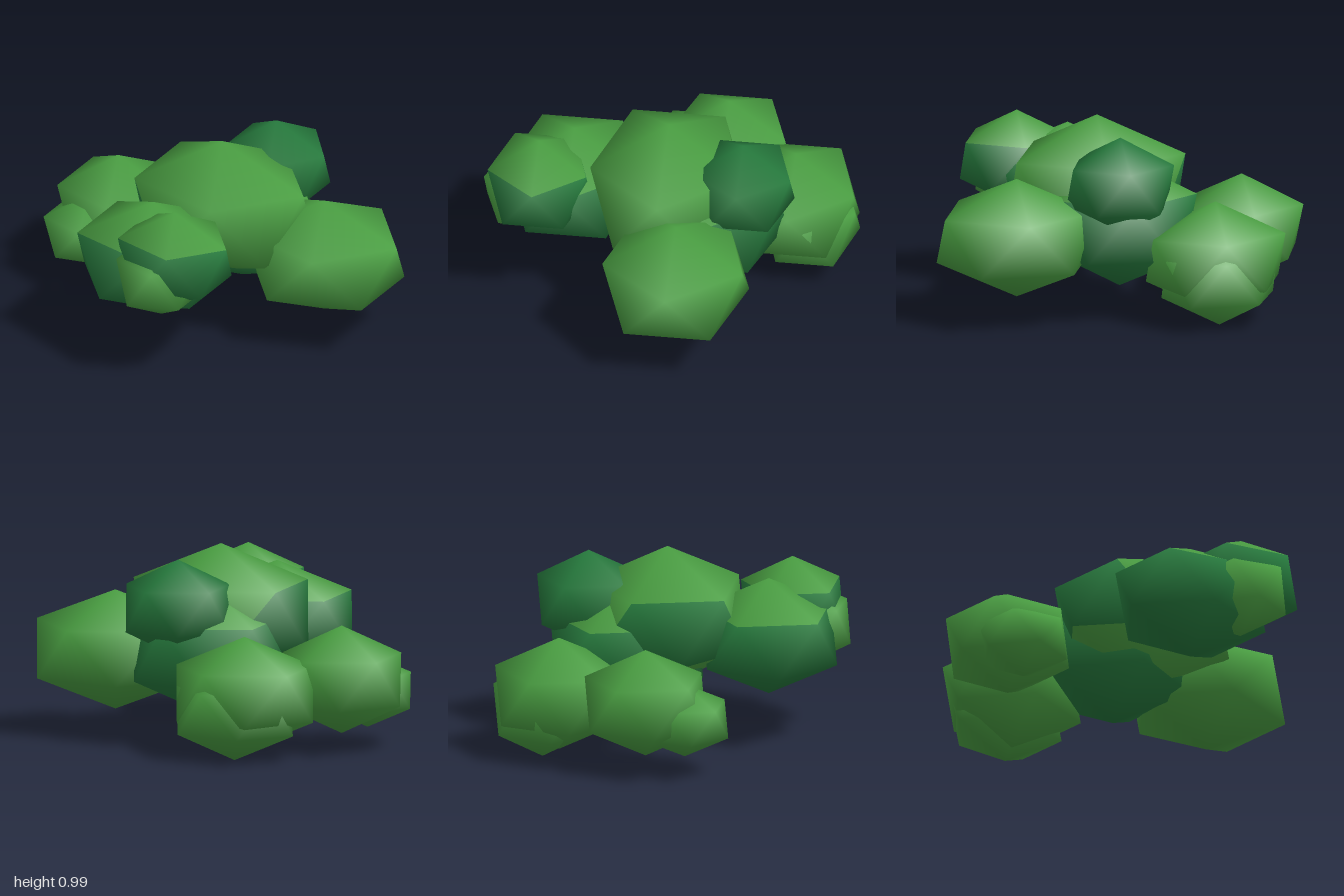
import * as THREE from 'three';

const leafGreen = new THREE.MeshStandardMaterial({ color: 0x4a9f42 });
leafGreen.name = 'leaf green';
const shadeGreen = new THREE.MeshStandardMaterial({ color: 0x267a3d });
shadeGreen.name = 'deep green';

// Twenty-sided clump with poles on y: top cap, side band, bottom cap, each a colour slot.
// isDark(x, y, z) receives the face centre relative to the clump radius.
function clump(name, center, radius, isDark) {
  const points = [[0, 1, 0]];
  const h = 1 / Math.sqrt(5), r = 2 * h;
  for (let ring = 0; ring < 2; ring++) {
    for (let i = 0; i < 5; i++) {
      const a = (i + ring * 0.5) * Math.PI * 2 / 5;
      points.push([r * Math.cos(a), ring ? -h : h, r * Math.sin(a)]);
    }
  }
  points.push([0, -1, 0]);

  const faces = [];
  for (let i = 0; i < 5; i++) {
    const j = (i + 1) % 5;
    const u = 1 + i, v = 1 + j, l = 6 + i, m = 6 + j;
    faces.push([0, v, u], [u, v, l], [v, m, l], [11, l, m]);
  }

  // Sort the faces into the light and the dark group
  const light = [], dark = [];
  for (const f of faces) {
    const c = [0, 1, 2].map((k) => f.reduce((s, p) => s + points[p][k], 0) / 3);
    (isDark(...c) ? dark : light).push(...f);
  }
  const geo = new THREE.BufferGeometry();
  geo.setAttribute('position', new THREE.Float32BufferAttribute(points.flat(), 3));
  geo.setIndex([...light, ...dark]);
  geo.scale(...radius);
  geo.computeVertexNormals();
  geo.addGroup(0, light.length, 0);
  geo.addGroup(light.length, dark.length, 1);

  const mesh = new THREE.Mesh(geo, [leafGreen, shadeGreen]);
  mesh.name = name;
  mesh.position.set(...center);
  return mesh;
}

export function createModel() {
  const group = new THREE.Group();
  group.name = 'foliage';

  const allLight = () => false;
  const allDark = () => true;
  const lightCap = (x, y) => y < 0.5;
  const darkRightSide = (x, y) => y < 0.5 && x < -0.5;

  group.add(
    // Centre of the bush
    clump('mainClump', [0.04, 0.63, -0.01], [0.525, 0.36, 0.45], darkRightSide),
    clump('lowerClump', [0.03, 0.48, -0.22], [0.44, 0.335, 0.44], lightCap),
    clump('upperBackClump', [0.13, 0.71, -0.4], [0.31, 0.25, 0.295], allDark),
    // Left side
    clump('leftClump', [0.57, 0.435, -0.115], [0.47, 0.305, 0.42], allLight),
    // Front
    clump('frontClump', [-0.08, 0.535, 0.49], [0.45, 0.3, 0.39], lightCap),
    clump('frontUpperClump', [0.13, 0.642, 0.64], [0.335, 0.25, 0.295], lightCap),
    clump('frontTipClump', [0.08, 0.555, 0.69], [0.25, 0.225, 0.27], allLight),
    // Right side
    clump('rightClump', [-0.685, 0.365, -0.22], [0.35, 0.275, 0.35], allLight),
    clump('rightFrontClump', [-0.755, 0.285, -0.03], [0.255, 0.188, 0.25], allLight),
    // Back
    clump('backClump', [-0.305, 0.33, -0.61], [0.41, 0.29, 0.365], allLight),
    clump('backLowClump', [-0.28, 0.25, -0.69], [0.35, 0.25, 0.28], allLight),
  );
  return group;
}
